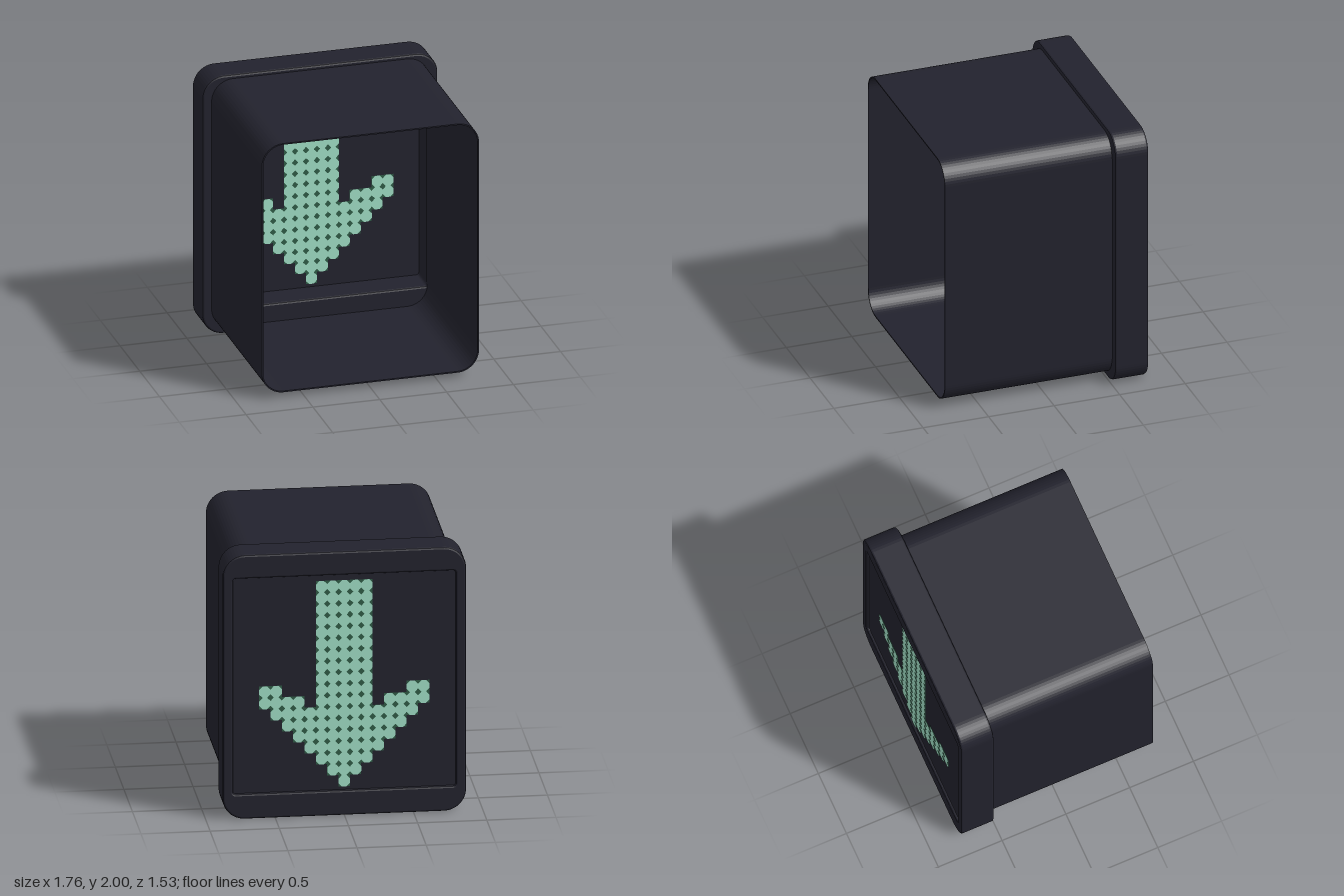
import * as THREE from 'three';
import { mergeGeometries } from 'three/addons/utils/BufferGeometryUtils.js';

const mat = (name, color) => Object.assign(new THREE.MeshStandardMaterial({ color }), { name });

// Rounded rectangle traced into a Shape or Path
function roundRect(target, x, y0, y1, r) {
  target.moveTo(x, y0 + r);
  target.absarc(x - r, y1 - r, r, 0, Math.PI / 2);
  target.absarc(-x + r, y1 - r, r, Math.PI / 2, Math.PI);
  target.absarc(-x + r, y0 + r, r, Math.PI, Math.PI * 1.5);
  target.absarc(x - r, y0 + r, r, Math.PI * 1.5, Math.PI * 2);
  return target;
}

// Hollow rounded sleeve running from z0 to z1
function sleeve(outer, inner, z0, z1, bevel) {
  const shape = roundRect(new THREE.Shape(), ...outer);
  shape.holes.push(roundRect(new THREE.Path(), ...inner));
  const geo = new THREE.ExtrudeGeometry(shape, {
    depth: z1 - z0 - 2 * bevel, curveSegments: 6, bevelEnabled: bevel > 0,
    bevelSize: bevel, bevelThickness: bevel, bevelOffset: -bevel, bevelSegments: 2,
  });
  return geo.translate(0, 0, z0 + bevel);
}

// Lamp columns lit in each row of the arrow, counted up from its tip
function isLit(row, col) {
  const c = Math.abs(col);
  if (row <= 6) return c <= row;
  if (c <= 2) return true;
  return (row === 7 && c >= 4 && c <= 7) || (row === 8 && c >= 6 && c <= 7);
}

export function createModel() {
  const group = new THREE.Group();
  const casing = mat('dark casing', 0x22222d);
  const lamp = mat('mint lamp', 0xa0dec5);
  const backing = mat('dark green backing', 0x2f5c46);
  const add = (name, geo, material) => {
    const mesh = new THREE.Mesh(geo, material);
    mesh.name = name;
    group.add(mesh);
  };

  // Thin hood, open at the front
  add('hood', sleeve([0.812, 0.04, 1.97, 0.16], [0.802, 0.05, 1.96, 0.15], -0.53, 0.765, 0), casing);

  // Thick rear frame around the panel
  add('frame', sleeve([0.88, 0, 2, 0.16], [0.805, 0.19, 1.82, 0.02], -0.767, -0.51, 0.015), casing);

  // Flat panel set just inside the frame
  const panelZ = -0.742, panelY = 1.005;
  add('panel', new THREE.BoxGeometry(1.64, 1.66, 0.01).translate(0, panelY, panelZ), casing);

  // Arrow of eight-sided lamps on both faces of the panel
  const dx = 0.082, dy = 0.0868, tipY = 0.258;
  for (const side of [1, -1]) {
    const lamps = [], plates = [];
    for (let row = 0; row < 18; row++) {
      for (let col = -7; col <= 7; col++) {
        if (!isLit(row, col)) continue;
        const place = (geo, lift) => {
          if (side < 0) geo.rotateY(Math.PI);
          return geo.translate(col * dx, tipY + row * dy, panelZ + side * lift);
        };
        const octagon = new THREE.CircleGeometry(dx / 2 / Math.cos(Math.PI / 8), 8);
        octagon.rotateZ(Math.PI / 8).scale(1, dy / dx, 1);
        lamps.push(place(octagon, 0.012));
        plates.push(place(new THREE.PlaneGeometry(dx, dy), 0.008));
      }
    }
    const face = side > 0 ? 'front' : 'rear';
    add(face + 'ArrowLamps', mergeGeometries(lamps), lamp);
    add(face + 'ArrowBacking', mergeGeometries(plates), backing);
  }
  return group;
}
